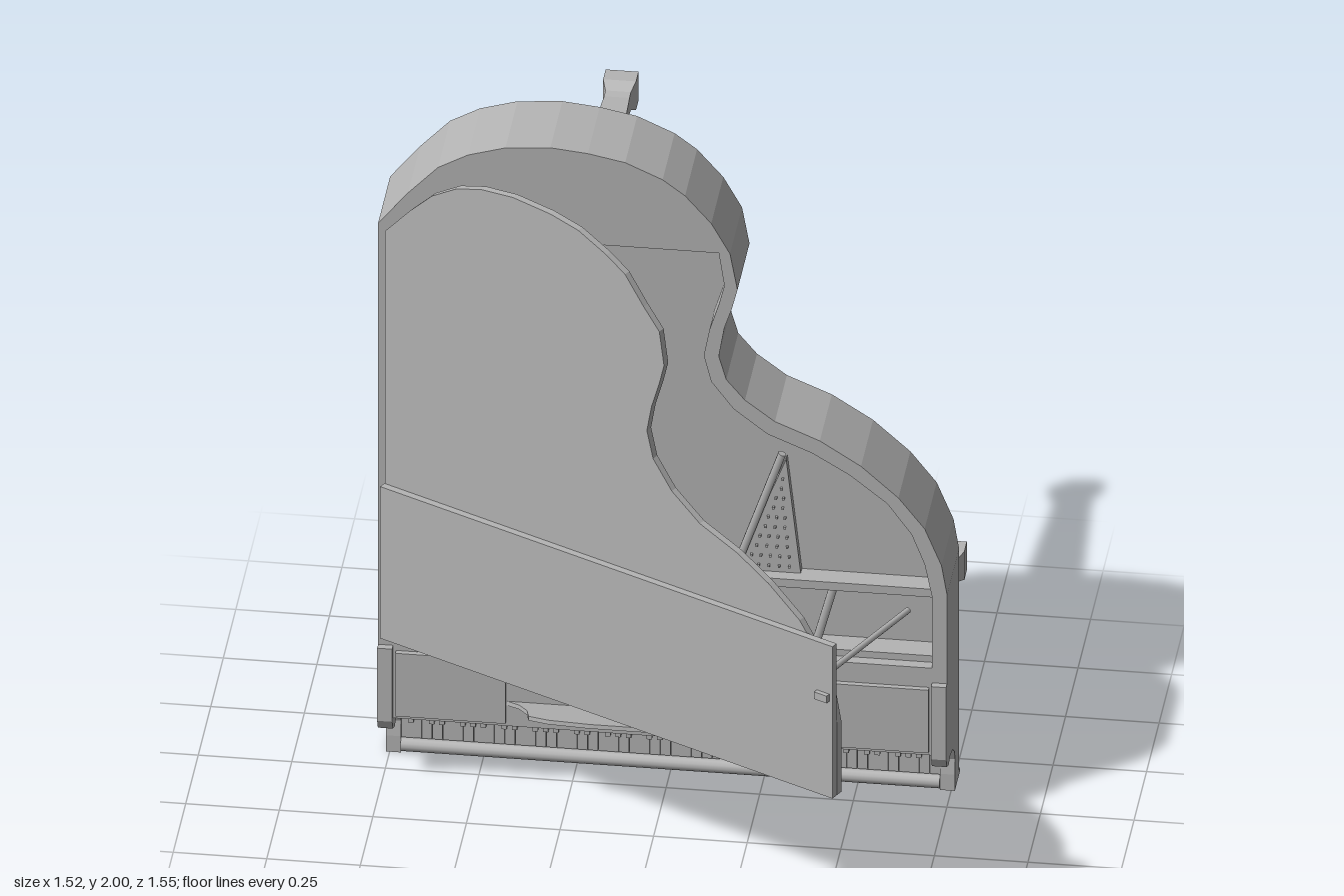
import * as THREE from 'three';
import { mergeGeometries } from 'three/addons/utils/BufferGeometryUtils.js';

export function createModel() {
  const root = new THREE.Group();
  root.name = 'grandPianoOnItsBack';
  const grey = new THREE.MeshStandardMaterial({ color: 0xb4b4b4 });
  grey.name = 'plain grey';

  const add = (name, geometry, parent = root) => {
    const mesh = new THREE.Mesh(geometry, grey);
    mesh.name = name;
    parent.add(mesh);
    return mesh;
  };
  const boxGeo = (x0, x1, y0, y1, z0, z1) =>
    new THREE.BoxGeometry(x1 - x0, y1 - y0, z1 - z0).translate((x0 + x1) / 2, (y0 + y1) / 2, (z0 + z1) / 2);
  const box = (name, dims, parent) => add(name, boxGeo(...dims), parent);
  const shape = (pts) => new THREE.Shape(pts.map(([x, y]) => new THREE.Vector2(x, y)));
  const slab = (s, z0, z1) =>
    new THREE.ExtrudeGeometry(s, { depth: z1 - z0, bevelEnabled: false }).translate(0, 0, z0);
  const rod = (name, a, b, r, sides = 8) => {
    const p = new THREE.Vector3(...a), q = new THREE.Vector3(...b);
    const mesh = add(name, new THREE.CylinderGeometry(r, r, p.distanceTo(q), sides));
    mesh.position.copy(p).add(q).multiplyScalar(0.5);
    mesh.quaternion.setFromUnitVectors(new THREE.Vector3(0, 1, 0), q.sub(p).normalize());
    return mesh;
  };

  // Case: the curved outline, with a pocket for the frame
  const outerCurve = [
    [0.76, 0.70], [0.745, 0.79], [0.70, 0.90], [0.63, 0.99], [0.53, 1.08], [0.42, 1.15], [0.30, 1.20],
    [0.22, 1.26], [0.17, 1.32], [0.15, 1.39], [0.165, 1.48], [0.185, 1.54], [0.20, 1.60], [0.18, 1.71],
    [0.13, 1.80], [0.06, 1.88], [0, 1.925], [-0.10, 1.97], [-0.20, 1.99], [-0.30, 2], [-0.42, 1.99],
    [-0.52, 1.96], [-0.60, 1.915], [-0.68, 1.83], [-0.76, 1.73],
  ];
  const bentSide = [
    [0.72, 0.69], [0.70, 0.79], [0.665, 0.88], [0.60, 0.97], [0.50, 1.05], [0.40, 1.11], [0.28, 1.16],
    [0.19, 1.23], [0.13, 1.31], [0.11, 1.39], [0.125, 1.47], [0.15, 1.55], [0.165, 1.61], [0.15, 1.71],
  ];
  const tail = [
    [0.10, 1.77], [0.04, 1.85], [-0.02, 1.89], [-0.11, 1.935], [-0.20, 1.955], [-0.32, 1.965],
    [-0.42, 1.955], [-0.50, 1.93], [-0.58, 1.88], [-0.65, 1.81], [-0.73, 1.72],
  ];
  add('caseBottom', slab(shape([[-0.76, 0], [0.76, 0], ...outerCurve]), -0.17, -0.11));
  const rim = shape([[-0.76, 0.2], [0.76, 0.2], ...outerCurve]);
  rim.holes.push(shape([[-0.72, 0.47], [0.72, 0.47], ...bentSide, [-0.72, 1.71]]));
  add('caseRim', slab(rim, -0.11, 0.07));
  box('bottomLip', [-0.76, 0.76, 0, 0.012, -0.185, -0.17]);

  // Soundboard and iron frame inside the pocket
  add('soundboard', slab(shape([[-0.73, 0.46], [0.73, 0.46], ...bentSide, [-0.73, 1.72]]), -0.11, -0.03));
  box('frameCrossBar', [-0.72, 0.72, 0.665, 0.69, -0.03, 0.03]);
  box('tuningRail', [-0.72, 0.72, 0.47, 0.49, -0.03, 0.04]);
  for (const x of [-0.5, -0.2, 0.1, 0.4]) rod('frameStrut', [x, 0.48, 0.005], [x + 0.05, 0.67, 0.005], 0.013, 6);
  rod('longFrameBar', [-0.33, 1.5, 0], [-0.06, 0.68, 0], 0.012, 6);
  rod('shortFrameBar', [0.31, 1.06, 0], [0.18, 0.68, 0], 0.012, 6);
  // Perforated string plates, each with rows of pins
  for (const [a, b, c] of [[[-0.28, 1.4], [-0.3, 0.87], [-0.09, 0.87]], [[0.32, 1.04], [0.18, 0.68], [0.36, 0.68]]]) {
    add('stringPlate', slab(shape([a, b, c]), -0.03, -0.005));
    const pins = [];
    for (let i = 1; i < 12; i++) {
      for (let j = 1; j <= i / 2; j++) {
        const t = i / 12, s = j / (Math.floor(i / 2) + 1);
        const x = a[0] + t * (b[0] - a[0] + s * (c[0] - b[0]));
        const y = a[1] + t * (b[1] - a[1]);
        pins.push(boxGeo(x - 0.003, x + 0.003, y - 0.003, y + 0.003, -0.005, 0.003));
      }
    }
    add('stringPins', mergeGeometries(pins));
  }

  // Cheeks at the ends of the keyboard
  const cheek = shape([
    [-0.17, 0], [-0.085, 0], [-0.085, 0.05], [-0.09, 0.095], [-0.075, 0.13], [-0.04, 0.155], [0.01, 0.165],
    [0.04, 0.155], [0.075, 0.17], [0.09, 0.2], [0.09, 0.425], [-0.17, 0.425],
  ]);
  for (const x of [-0.72, 0.76]) {
    const g = new THREE.ExtrudeGeometry(cheek, { depth: 0.04, bevelEnabled: false });
    add('cheek', g.rotateY(-Math.PI / 2).translate(x, 0, 0));
  }

  // Keyboard: 52 white keys and the black pattern between them
  const pitch = 1.44 / 52, white = [], black = [];
  for (let i = 0; i < 52; i++) {
    const x = -0.72 + i * pitch;
    white.push(boxGeo(x + 0.0005, x + pitch - 0.0005, 0.045, 0.2, -0.11, -0.09));
    if (i < 51 && ![1, 4].includes(i % 7)) {
      black.push(boxGeo(x + pitch - 0.007, x + pitch + 0.007, 0.1, 0.2, -0.095, -0.075));
    }
  }
  add('whiteKeys', mergeGeometries(white));
  add('blackKeys', mergeGeometries(black));
  box('keySlip', [-0.72, 0.72, 0, 0.043, -0.11, -0.095]);
  rod('keySlipRoll', [-0.72, 0.022, -0.095], [0.72, 0.022, -0.095], 0.02, 12);

  // Side panels and music desk
  for (const s of [-1, 1]) {
    box('sidePanel', [s * 0.565 - 0.147, s * 0.565 + 0.147, 0.215, 0.41, 0.06, 0.085]);
  }
  const half = [[0.42, 0], [0.38, 0.025], [0.355, 0.06], [0.345, 0.1], [0.29, 0.118], [0.18, 0.128]];
  const desk = slab(shape([...half, ...half.map(([x, y]) => [-x, y]).reverse()]), -0.006, 0.006);
  add('musicDesk', desk.rotateX(Math.PI / 2 - 0.17).translate(0, 0.27, 0.068));

  // Lid, hinged along the straight left side and propped open
  const lid = new THREE.Group();
  lid.name = 'lid';
  lid.position.set(-0.73, 0, 0.075);
  lid.rotation.y = -0.466;
  root.add(lid);
  add('lidPanel', slab(shape([[-0.73, 0.47], [0.72, 0.47], ...bentSide, ...tail]), 0, 0.02).translate(0.73, 0, 0), lid);
  box('foldedFrontLid', [0, 1.45, 0.47, 0.94, 0.022, 0.042], lid);
  box('lidKnob', [1.4, 1.44, 0.768, 0.79, 0.042, 0.055], lid);
  rod('propStick', [0.65, 0.62, 0.03], [0.36, 0.62, 0.62], 0.009);

  // Legs: square sections flared where they meet the mounting plate
  // Each station: depth, half length along the plate, half width
  const stations = [
    [0, 0.195, 0.05], [0.012, 0.17, 0.049], [0.025, 0.115, 0.048], [0.045, 0.08, 0.046], [0.07, 0.06, 0.044],
    [0.105, 0.049, 0.042], [0.47, 0.034, 0.025], [0.495, 0.034, 0.028], [0.525, 0.044, 0.044], [0.575, 0.044, 0.044],
  ];
  const legGeometry = () => {
    const n = stations.length - 1;
    const g = new THREE.CylinderGeometry(Math.SQRT2, Math.SQRT2, n, 4, n)
      .rotateY(Math.PI / 4).rotateX(-Math.PI / 2).toNonIndexed();
    const p = g.attributes.position;
    for (let i = 0; i < p.count; i++) {
      const [d, long, wide] = stations[Math.round(n / 2 - p.getZ(i))];
      p.setXYZ(i, Math.sign(p.getX(i)) * wide * (Math.abs(p.getX(i)) > 0.5 ? 1 : 0),
        Math.sign(p.getY(i)) * long * (Math.abs(p.getY(i)) > 0.5 ? 1 : 0), -d);
    }
    g.computeVertexNormals();
    return g;
  };
  const leg = (name, x, y, turn) => {
    const g = new THREE.Group();
    g.name = name;
    g.position.set(x, y, 0);
    g.rotation.z = turn;
    root.add(g);
    box('mountingPlate', [-0.07, 0.07, -0.215, 0.215, -0.2, -0.17], g);
    box('innerPlate', [-0.055, 0.055, -0.2, 0.2, -0.21, -0.2], g);
    add('legPost', legGeometry().translate(0, 0, -0.205), g);
  };
  leg('leftFrontLeg', 0.655, 0.305, 0);
  leg('rightFrontLeg', -0.655, 0.305, 0);
  leg('backLeg', -0.222, 1.69, Math.PI / 2);

  // Pedal lyre with posts, braces and pedals
  box('pedalBox', [-0.13, 0.125, 0.33, 0.42, -0.78, -0.73]);
  box('pedalBoxNeck', [-0.11, 0.105, 0.335, 0.415, -0.73, -0.675]);
  for (const s of [-1, 1]) {
    for (const o of [0.062, 0.083]) {
      box('lyrePost', [s * o - 0.008, s * o + 0.008, 0.345, 0.375, -0.68, -0.17]);
    }
    rod('lyreBrace', [s * 0.07, 0.78, -0.17], [s * 0.07, 0.4, -0.68], 0.008);
  }
  box('lyreCrossBar', [-0.085, 0.085, 0.35, 0.37, -0.36, -0.34]);
  for (const x of [-0.075, 0, 0.07]) {
    const outline = [[0.004, -0.1], [0.014, -0.07], [0.018, -0.04], [0.008, 0.02], [0.008, 0.1]];
    const pedal = slab(shape([...outline, ...outline.map(([u, v]) => [-u, v]).reverse()]), -0.005, 0.005);
    add('pedal', pedal.translate(x, 0.24, -0.752));
  }
  return root;
}
